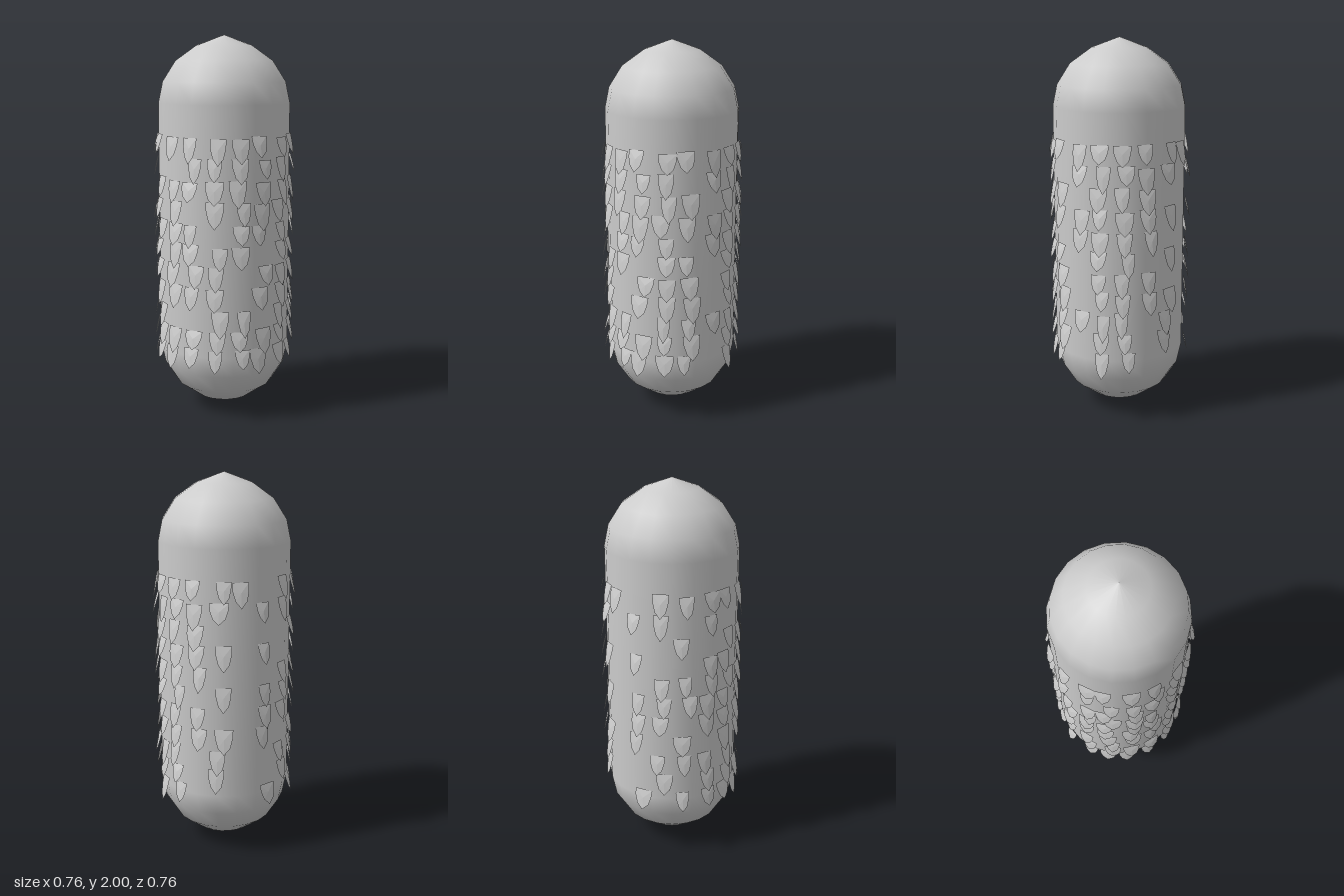
import * as THREE from 'three';

// One row per ring of scales, top to bottom; columns run 20 degrees apart from -75.
const ROWS = [
  'xxxxxxxxxxxxxx.xxx',
  '..xxxxx.xxxxx.xx.x',
  'xxxxxxxx.xxx....x.',
  'xx.xxxxxxxxxx.x..x',
  'xxx.xxx.xxxx...xxx',
  'xxxxx.xx.xx.x.xxxx',
  'xxxx.xxx.xxx..xx.x',
  'xxxx.xxx.xxxx.x.x.',
  'x..xx.xxxxx.x..xxx',
  'xxxxxxxx.xx.x..x.x',
  'xxxxxxxx.xx...x.xx',
];

function seeded(seed) {
  return () => {
    seed = (seed * 16807) % 2147483647;
    return seed / 2147483647;
  };
}

// Shield-shaped unit scale: flat top edge at y = 0, tip at y = -1, leaning out towards +z
function scaleGeometry() {
  const outline = [[-0.5, 0], [-0.47, -0.35], [-0.32, -0.72], [0, -1], [0.34, -0.72], [0.47, -0.35], [0.5, 0]];
  const position = [0, -0.4, 0.55];
  outline.forEach(([x, y]) => position.push(x, y, -y));
  const index = [];
  for (let i = 1; i <= outline.length; i++) index.push(0, i, (i % outline.length) + 1);
  const g = new THREE.BufferGeometry();
  g.setAttribute('position', new THREE.Float32BufferAttribute(position, 3));
  g.setIndex(index);
  const flat = g.toNonIndexed();
  flat.computeVertexNormals();
  return flat;
}

export function createModel() {
  const model = new THREE.Group();
  model.name = 'scaledCapsule';
  const rand = seeded(4217);
  const vary = (a, b) => a + (b - a) * rand();

  // Smooth capsule body with 20 sides
  const cap = [[0, 0], [0.145, 0.053], [0.257, 0.133], [0.325, 0.24], [0.348, 0.35]];
  const profile = [
    ...cap.map(([r, y]) => new THREE.Vector2(r, y)),
    ...cap.slice().reverse().map(([r, y]) => new THREE.Vector2(r, 2 - y)),
  ];
  const body = new THREE.Mesh(
    new THREE.LatheGeometry(profile, 20),
    new THREE.MeshStandardMaterial({ color: 0xcccccc }),
  );
  body.name = 'body';
  model.add(body);

  // Rings of loosely placed scales
  const geometry = scaleGeometry();
  const material = new THREE.MeshStandardMaterial({ color: 0xcccccc, flatShading: true, side: THREE.DoubleSide });
  ROWS.forEach((row, r) => {
    const ring = new THREE.Group();
    ring.name = `scaleRing${r + 1}`;
    [...row].forEach((mark, c) => {
      if (mark !== 'x') return;
      const angle = THREE.MathUtils.degToRad(-75 + 20 * c + vary(-4, 4));
      const scale = new THREE.Mesh(geometry, material);
      scale.name = 'scale';
      scale.position.set(0.351 * Math.sin(angle), 1.49 - 0.11 * r + vary(-0.01, 0.01), 0.351 * Math.cos(angle));
      scale.rotation.y = angle;
      scale.scale.set(vary(0.07, 0.1), vary(0.095, 0.14), vary(0.022, 0.03));
      ring.add(scale);
    });
    model.add(ring);
  });
  return model;
}
